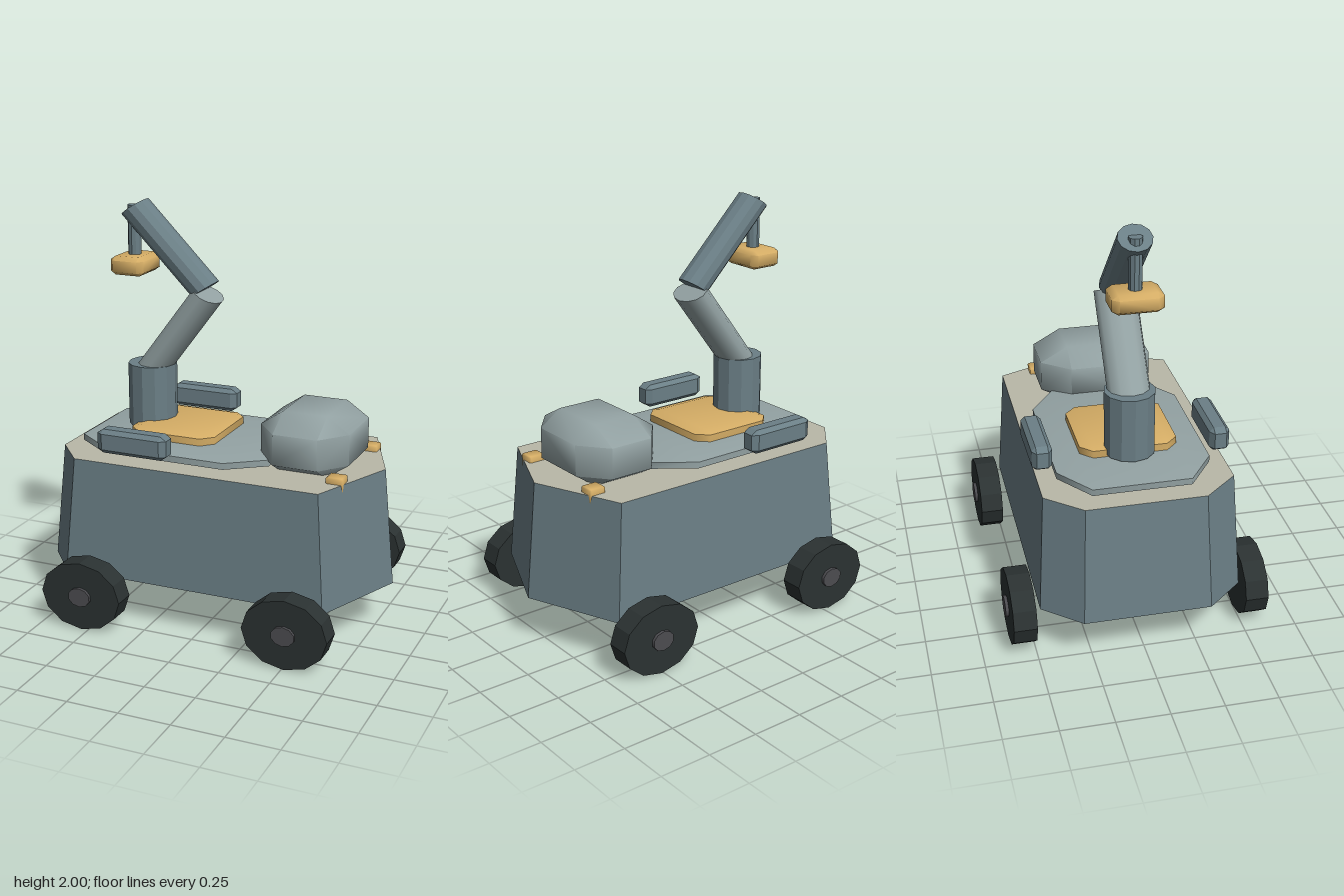
import * as THREE from 'three';
import { toCreasedNormals } from 'three/addons/utils/BufferGeometryUtils.js';
import { ConvexGeometry } from 'three/addons/geometries/ConvexGeometry.js';

const SQUASH = 0.82; // round parts are flattened in height by this factor

function material(name, color, flatShading = false) {
  const m = new THREE.MeshStandardMaterial({ color, flatShading });
  m.name = name;
  return m;
}

// Box with one chamfer per edge, given as min/max corners and chamfer sizes
function bevelBox(min, max, bevel) {
  const centre = min.map((v, i) => (v + max[i]) / 2);
  const half = min.map((v, i) => (max[i] - v) / 2);
  const points = [];
  for (const sx of [-1, 1]) for (const sy of [-1, 1]) for (const sz of [-1, 1]) {
    const sign = [sx, sy, sz];
    for (let face = 0; face < 3; face++) {
      const p = sign.map((s, i) => centre[i] + s * (half[i] - (i === face ? 0 : bevel[i])));
      points.push(new THREE.Vector3(...p));
    }
  }
  return toCreasedNormals(new ConvexGeometry(points), 1.1);
}

// Tapered hull: seven-cornered outline extruded upward, top drawn in
function hullGeometry(y0, y1, taper) {
  const side = [[0.64, 0.465], [-0.68, 0.477], [-0.835, 0.3]];
  const outline = [[0.832, 0], ...side, ...side.slice().reverse().map(([x, z]) => [x, -z])];
  const shape = new THREE.Shape(outline.map(([x, z]) => new THREE.Vector2(x, z)));
  const geo = new THREE.ExtrudeGeometry(shape, { depth: y1 - y0, bevelEnabled: false });
  geo.rotateX(-Math.PI / 2);
  const pos = geo.attributes.position;
  for (let i = 0; i < pos.count; i++) {
    const k = pos.getY(i) > 0.01 ? taper : 1;
    pos.setXYZ(i, pos.getX(i) * k, pos.getY(i) + y0, pos.getZ(i) * k);
  }
  geo.computeVertexNormals();
  return geo;
}

export function createModel() {
  const model = new THREE.Group();
  model.name = 'armedRover';

  const slate = material('slate', 0x6b7f86, true);
  const slateSmooth = slate; // creased normals and flat facets share one paint
  const pale = material('paleGrey', 0x93a2a3);
  const amber = material('amber', 0xd6ae66);
  const beige = material('beige', 0xb9b8a8);
  const rubber = material('rubber', 0x2b3232, true);
  const hubGrey = material('hubGrey', 0x4c4c50);

  const add = (parent, name, geo, mat) => {
    const mesh = new THREE.Mesh(geo, mat);
    mesh.name = name;
    parent.add(mesh);
    return mesh;
  };

  // Body
  add(model, 'hull', hullGeometry(0.235, 0.805, 0.934), [beige, slate]);
  add(model, 'deckPlate', bevelBox([-0.7, 0.805, -0.36], [0.28, 0.876, 0.36], [0.18, 0.02, 0.13]), pale);
  add(model, 'cabin', bevelBox([0.205, 0.775, -0.278], [0.643, 1.075, 0.278], [0.11, 0.075, 0.135]), pale);
  add(model, 'armPad', bevelBox([-0.46, 0.86, -0.23], [-0.02, 0.927, 0.23], [0.055, 0.016, 0.055]), amber);

  // Side pods and corner lamps, mirrored
  for (const s of [1, -1]) {
    const span = (a, b) => (s > 0 ? [a, b] : [-b, -a]);
    const [p0, p1] = span(0.37, 0.465);
    add(model, s > 0 ? 'frontPod' : 'backPod',
      bevelBox([-0.505, 0.858, p0], [-0.147, 0.975, p1], [0.03, 0.02, 0.02]), slateSmooth);
    const [l0, l1] = span(0.213, 0.29);
    add(model, s > 0 ? 'frontLamp' : 'backLamp',
      bevelBox([0.58, 0.765, l0], [0.664, 0.834, l1], [0.006, 0.006, 0.006]), amber);
  }

  // Round parts live in a group flattened in height
  const round = new THREE.Group();
  round.name = 'wheelsAndArm';
  round.scale.y = SQUASH;
  model.add(round);

  // Wheels
  for (const x of [-0.535, 0.508]) for (const s of [1, -1]) {
    const wheel = new THREE.Group();
    wheel.name = 'wheel';
    wheel.position.set(x, 0.172 / SQUASH, s * 0.555);
    add(wheel, 'tyre', new THREE.CylinderGeometry(0.208, 0.208, 0.11, 12).rotateX(Math.PI / 2), rubber);
    add(wheel, 'hub', new THREE.CylinderGeometry(0.058, 0.058, 0.14, 10).rotateX(Math.PI / 2), hubGrey);
    round.add(wheel);
  }

  // Cylinder between two points in the x-y plane, with its own depth stretch
  const limb = (name, [x0, y0], [x1, y1], radius, depth, mat, sides = 12) => {
    const a = new THREE.Vector2(x0, y0 / SQUASH), b = new THREE.Vector2(x1, y1 / SQUASH);
    const geo = new THREE.CylinderGeometry(radius, radius, a.distanceTo(b), sides);
    geo.scale(1, 1, depth / radius);
    const mesh = add(round, name, geo, mat);
    mesh.position.set((a.x + b.x) / 2, (a.y + b.y) / 2, 0);
    mesh.rotation.z = Math.atan2(b.y - a.y, b.x - a.x) - Math.PI / 2;
  };

  // Jointed arm
  limb('armBase', [-0.43, 0.885], [-0.43, 1.195], 0.12, 0.12, slate);
  limb('lowerArm', [-0.43, 1.16], [-0.127, 1.561], 0.079, 0.1, pale);
  limb('upperArm', [-0.143, 1.585], [-0.51, 1.957], 0.079, 0.079, slate);
  limb('toolRod', [-0.516, 1.7], [-0.516, 1.965], 0.032, 0.032, slate, 10);
  add(model, 'toolHead', bevelBox([-0.602, 1.636, -0.117], [-0.427, 1.727, 0.117], [0.025, 0.018, 0.03]), amber);

  return model;
}
